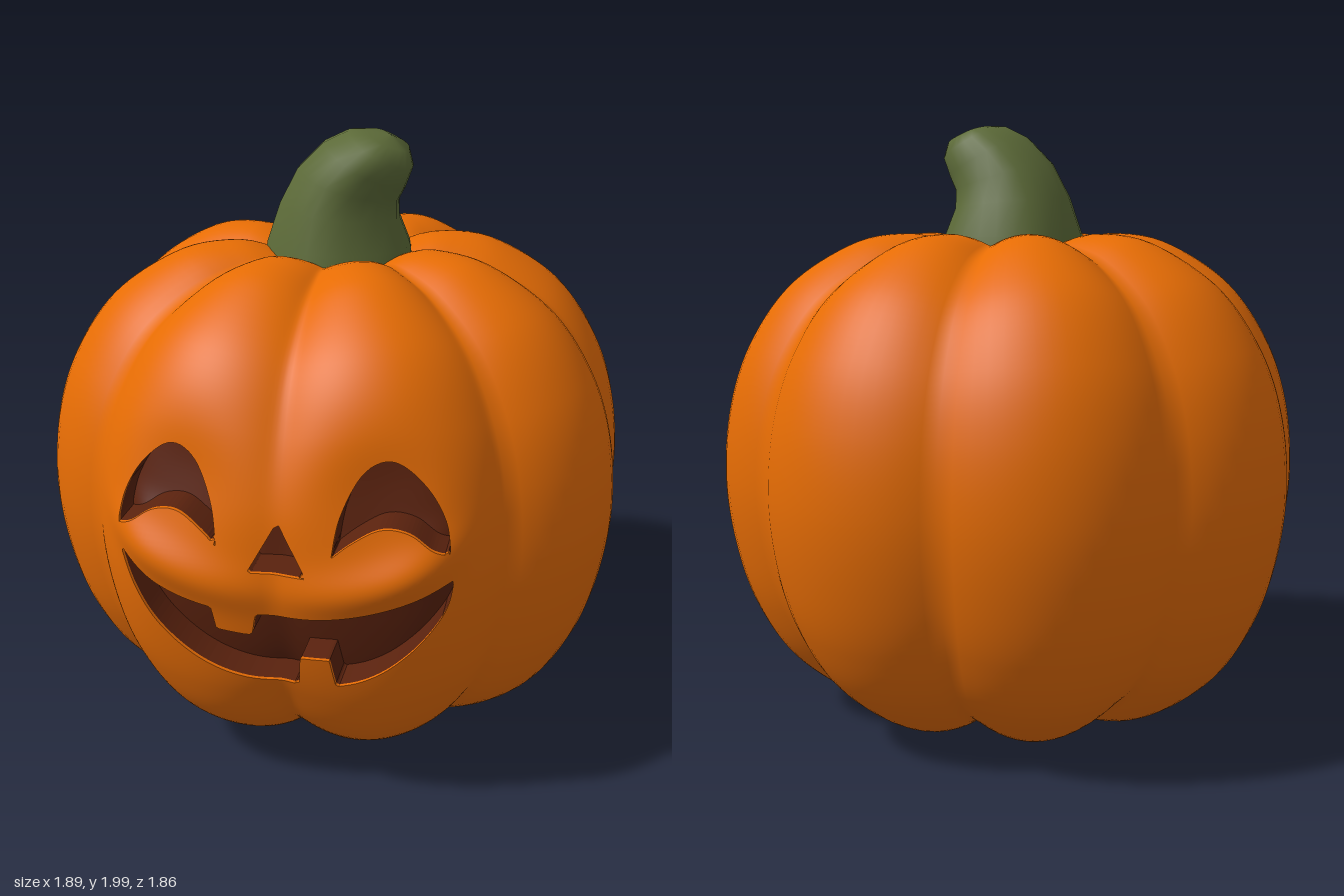
import * as THREE from 'three';

const V2 = (a) => a.map(([x, y]) => new THREE.Vector2(x, y));
const orange = new THREE.MeshStandardMaterial({ color: 0xe66c04 });
const darkInside = new THREE.MeshStandardMaterial({ color: 0x5a220e });
const stemGreen = new THREE.MeshStandardMaterial({ color: 0x5c6a38 });
orange.name = 'pumpkinOrange';
darkInside.name = 'darkInside';
stemGreen.name = 'stemGreen';

// Upright half-section of a lobe, from bottom centre to top centre
const profile = new THREE.SplineCurve(V2([
  [0, 0.09], [0.2, 0.035], [0.38, 0], [0.57, 0.05], [0.77, 0.2], [0.89, 0.39], [0.955, 0.6], [0.98, 0.83],
  [0.955, 1.07], [0.88, 1.28], [0.74, 1.47], [0.53, 1.6], [0.36, 1.63], [0.25, 1.61], [0.15, 1.56], [0, 1.5],
]));

// Eight-lobed surface with a flatter face and a puffy cheek band in front
function surface(t, a) {
  const q = profile.getPointAt(THREE.MathUtils.clamp(t, 0, 1));
  const front = Math.cos(a) > 0 ? 1 : 0;
  const x0 = q.x * Math.sin(a);
  const mask = front * Math.exp(-((x0 / 0.42) ** 4) - ((q.y - 0.75) / 0.4) ** 4);
  const groove = 1 - (Math.sin(4 * a) ** 2 + 0.012) ** 0.35;
  const k = 1 - 0.09 * groove * (1 - 0.55 * mask) * THREE.MathUtils.smoothstep(q.x, 0.05, 0.5);
  const p = new THREE.Vector3(x0 * k, 0.82 + (q.y - 0.82) * k, q.x * k * Math.cos(a) * 0.98);
  if (front && p.z > 0.4) {
    const ax = Math.abs(p.x);
    const band = 0.8 + 0.5 * ax * ax;
    p.z += (0.01 + 0.08 * ax) * Math.exp(-(((p.y - band) / 0.075) ** 2) - (ax / 0.5) ** 8);
    p.z -= 0.02 * mask + 0.04 * Math.exp(-((ax - 0.3) ** 2 + (p.y - 1.12) ** 2) / 0.03);
  }
  return p;
}

function surfaceNormal(t, a) {
  t = THREE.MathUtils.clamp(t, 0.006, 0.994);
  const e = 0.005;
  const da = surface(t, a + 0.03).sub(surface(t, a - 0.03));
  const dt = surface(t + e, a).sub(surface(t - e, a));
  return da.cross(dt).normalize();
}

// Outlines of the carved openings, seen from the front
function carvedOutlines() {
  const eye = (s) => {
    const m = (a) => V2(a.map(([x, y]) => [x * s, y]));
    const e = new THREE.Shape();
    e.moveTo(0.5 * s, 0.935);
    e.splineThru(m([[0.48, 1.03], [0.42, 1.13], [0.33, 1.2], [0.25, 1.17], [0.19, 1.05], [0.17, 0.93]]));
    e.splineThru(m([[0.22, 0.97], [0.3, 1.01], [0.38, 1.0], [0.45, 0.955], [0.5, 0.935]]));
    return e;
  };
  const nose = new THREE.Shape(V2([[-0.075, 0.865], [0.01, 1.02], [0.1, 0.865]]));
  const mouth = new THREE.Shape();
  mouth.moveTo(-0.5, 0.86);
  mouth.splineThru(V2([[-0.4, 0.79], [-0.3, 0.755], [-0.19, 0.735]]));
  mouth.lineTo(-0.18, 0.655); // upper tooth
  mouth.lineTo(-0.07, 0.645);
  mouth.lineTo(-0.055, 0.725);
  mouth.splineThru(V2([[0.1, 0.73], [0.25, 0.755], [0.4, 0.8], [0.51, 0.85]]));
  mouth.splineThru(V2([[0.49, 0.75], [0.42, 0.64], [0.33, 0.55], [0.25, 0.5], [0.175, 0.475]]));
  mouth.lineTo(0.16, 0.58); // lower tooth
  mouth.lineTo(0.07, 0.575);
  mouth.lineTo(0.06, 0.46);
  mouth.splineThru(V2([[-0.1, 0.468], [-0.25, 0.52], [-0.38, 0.62], [-0.46, 0.74], [-0.5, 0.86]]));
  return [eye(1), eye(-1), nose, mouth].map((s) => s.getPoints(5));
}

// Signed distance to an outline, negative inside
function signedDistance(pts, x, y) {
  let best = 1e9;
  let inside = false;
  for (let i = 0, j = pts.length - 1; i < pts.length; j = i++) {
    const a = pts[j], b = pts[i];
    const ex = b.x - a.x, ey = b.y - a.y;
    const len = ex * ex + ey * ey;
    if (len < 1e-12) continue;
    const h = THREE.MathUtils.clamp(((x - a.x) * ex + (y - a.y) * ey) / len, 0, 1);
    best = Math.min(best, Math.hypot(x - a.x - h * ex, y - a.y - h * ey));
    if ((a.y > y) !== (b.y > y) && x < a.x + ((y - a.y) * ex) / ey) inside = !inside;
  }
  return inside ? -best : best;
}

// Collects loose polygons and turns them into a mesh
class Skin {
  pos = [];
  nor = [];
  polygon(verts, push = 0) {
    for (let i = 1; i + 1 < verts.length; i++) {
      for (const v of [verts[0], verts[i], verts[i + 1]]) {
        this.pos.push(v.p.x, v.p.y, v.p.z - push);
        this.nor.push(v.n.x, v.n.y, v.n.z);
      }
    }
  }
  mesh(name, material) {
    const g = new THREE.BufferGeometry();
    g.setAttribute('position', new THREE.Float32BufferAttribute(this.pos, 3));
    g.setAttribute('normal', new THREE.Float32BufferAttribute(this.nor, 3));
    const m = new THREE.Mesh(g, material);
    m.name = name;
    return m;
  }
}

// Part of a triangle on one side of the carving line
function clip(tri, sign) {
  const out = [];
  tri.forEach((a, i) => {
    const b = tri[(i + 1) % 3];
    if (a.s * sign > 0) out.push(a);
    if (a.s > 0 !== b.s > 0) {
      const h = a.s / (a.s - b.s);
      out.push({ p: a.p.clone().lerp(b.p, h), n: a.n.clone().lerp(b.n, h).normalize(), s: 0, cut: true, exit: a.s > 0 });
    }
  });
  return out;
}

function buildPumpkin(group) {
  const outlines = carvedOutlines();
  const angles = [];
  for (let i = 0; i < 96; i++) angles.push(-Math.PI / 4 + (i / 96) * (Math.PI / 2));
  for (let i = 0; i <= 90; i++) angles.push(Math.PI / 4 + (i / 90) * (Math.PI * 1.5));
  const rows = 112;
  const grid = [];
  for (let j = 0; j <= rows; j++) {
    const u = j / rows;
    const t = u + 0.08 * Math.sin(2 * Math.PI * u); // finer rows across the face
    grid.push(angles.map((a) => {
      const p = surface(t, a);
      const s = p.z > 0.45 ? Math.min(...outlines.map((o) => signedDistance(o, p.x, p.y))) : 1;
      return { p, n: surfaceNormal(t, a), s: s || 1e-6 };
    }));
  }

  const shell = new Skin(), lip = new Skin(), hollow = new Skin();
  const lipDepth = 0.012, depth = 0.12;
  const wall = (skin, a, b, d0, d1) => {
    const n = new THREE.Vector3(0, 0, -1).cross(a.p.clone().sub(b.p)).normalize().negate();
    const at = (v, d) => ({ p: v.p.clone().setZ(v.p.z - d), n });
    skin.polygon([at(b, d0), at(a, d0), at(a, d1), at(b, d1)]);
  };
  const carve = (tri) => {
    if (tri.every((v) => v.s > 0)) return shell.polygon(tri);
    if (tri.every((v) => v.s < 0)) return hollow.polygon(tri, depth);
    const outer = clip(tri, 1);
    shell.polygon(outer);
    hollow.polygon(clip(tri, -1), depth);
    const a = outer.find((v) => v.cut && v.exit);
    const b = outer.find((v) => v.cut && !v.exit);
    wall(lip, a, b, 0, lipDepth);
    wall(hollow, a, b, lipDepth, depth);
  };
  for (let j = 0; j < rows; j++) {
    for (let i = 0; i + 1 < angles.length; i++) {
      const [a, b, c, d] = [grid[j][i], grid[j][i + 1], grid[j + 1][i + 1], grid[j + 1][i]];
      if (j > 0) carve([a, b, c]);
      if (j < rows - 1) carve([a, c, d]);
    }
  }
  group.add(shell.mesh('pumpkinShell', orange), lip.mesh('carvedEdges', orange), hollow.mesh('carvedHollows', darkInside));
}

// Bent stem: rings of [x, y, z, radius across, radius in depth, tilt toward +x]
function buildStem() {
  const rings = [
    [0, 1.52, 0, 0.25, 0.25, 0], [0, 1.62, 0, 0.235, 0.23, 0], [0.005, 1.73, 0.01, 0.195, 0.2, 0.1],
    [0.035, 1.815, 0.02, 0.17, 0.18, 0.28], [0.09, 1.88, 0.035, 0.148, 0.168, 0.48], [0.14, 1.93, 0.04, 0.118, 0.145, 0.5],
    [0.16, 1.958, 0.03, 0.075, 0.095, 0.42], [0.168, 1.97, 0.02, 0.001, 0.001, 0.4],
  ];
  const sides = 24;
  const pos = [], index = [];
  rings.forEach(([x, y, z, rx, rz, tilt], j) => {
    for (let i = 0; i < sides; i++) {
      const a = (i / sides) * Math.PI * 2;
      const rib = 1 + 0.025 * Math.cos(5 * a + 0.6);
      const w = Math.sin(a) * rx * rib;
      pos.push(x + w * Math.cos(tilt), y - w * Math.sin(tilt), z + Math.cos(a) * rz * rib);
      if (j + 1 < rings.length) {
        const p = j * sides + i, q = j * sides + ((i + 1) % sides);
        index.push(p, q, q + sides, p, q + sides, p + sides);
      }
    }
  });
  const g = new THREE.BufferGeometry();
  g.setAttribute('position', new THREE.Float32BufferAttribute(pos, 3));
  g.setIndex(index);
  g.computeVertexNormals();
  const stem = new THREE.Mesh(g, stemGreen);
  stem.name = 'stem';
  return stem;
}

export function createModel() {
  const group = new THREE.Group();
  group.name = 'carvedPumpkin';
  buildPumpkin(group);
  group.add(buildStem());
  return group;
}
